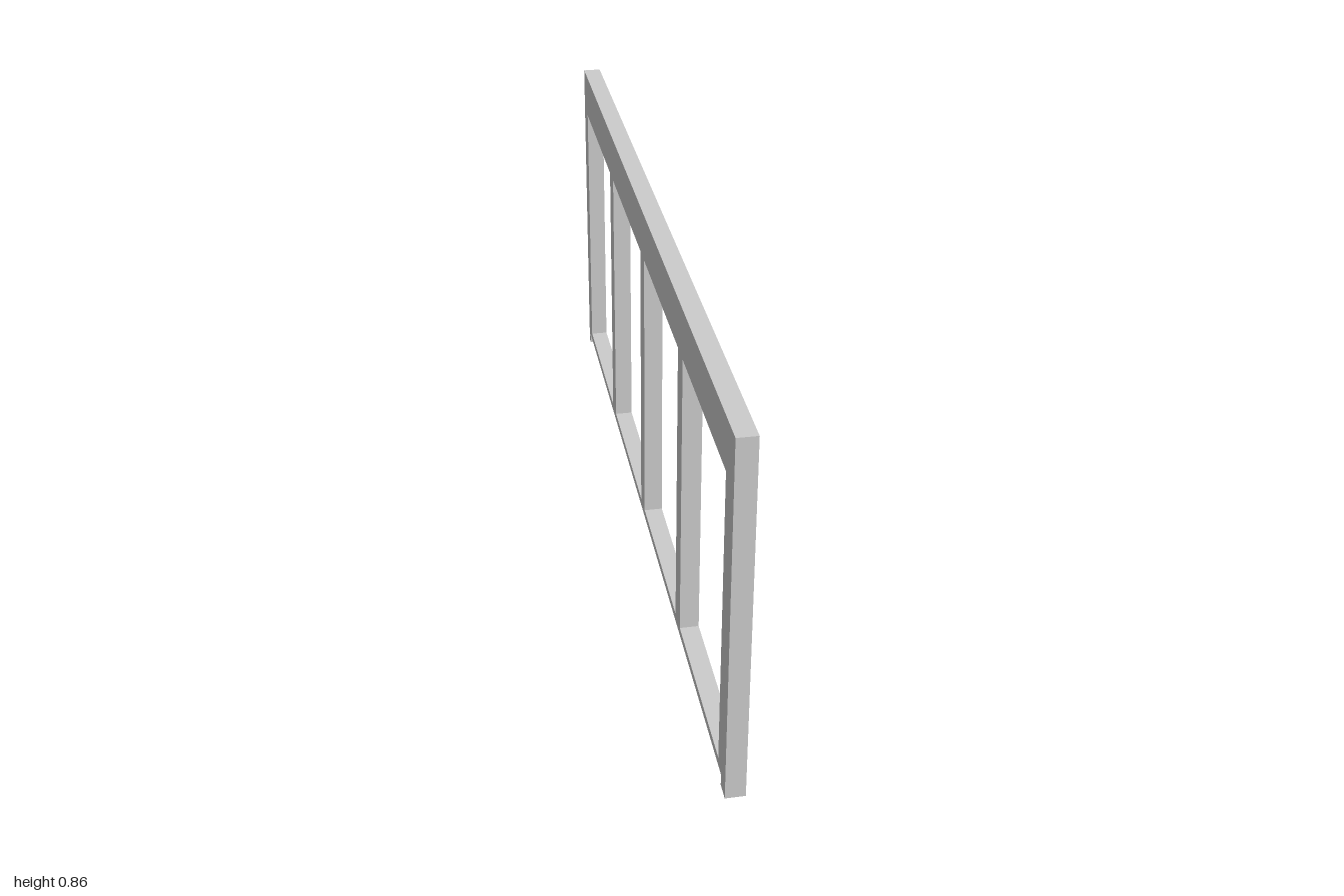
import * as THREE from 'three';

const HEIGHT = 0.864, HALF_X = 0.022, STEP_X = -0.007;
const SILL = 0.048, HEAD = 0.75;
const PANE_START = -0.944, PANE_PITCH = 0.482, PANE_WIDTH = 0.429;

// Closed outline in (z, y)
const toPoints = (list) => list.map(([z, y]) => new THREE.Vector2(z, y));

// Frame slab with four openings, spanning xMin..xMax
function frameLayer(name, outline, xMin, xMax, material) {
  const shape = new THREE.Shape(toPoints(outline));
  for (let i = 0; i < 4; i++) {
    const a = PANE_START + i * PANE_PITCH, b = a + PANE_WIDTH;
    shape.holes.push(new THREE.Path(toPoints([[a, SILL], [a, HEAD], [b, HEAD], [b, SILL]])));
  }
  const geometry = new THREE.ExtrudeGeometry(shape, { depth: xMax - xMin, bevelEnabled: false });
  geometry.rotateY(-Math.PI / 2); // outline runs along z, thickness along -x
  geometry.translate(xMax, 0, 0);
  const mesh = new THREE.Mesh(geometry, material);
  mesh.name = name;
  return mesh;
}

export function createModel() {
  const group = new THREE.Group();
  group.name = 'windowFrame';
  const material = new THREE.MeshStandardMaterial({ color: 0xcccccc });

  // Main body: full rectangle
  const full = [[-1, 0], [1, 0], [1, HEIGHT], [-1, HEIGHT]];
  group.add(frameLayer('mainFrame', full, STEP_X, HALF_X, material));

  // Face layer: bottom edge cut back between the two end posts
  const rebated = [
    [-1, 0], [-0.98, 0], [-0.98, 0.028], [0.96, 0.028], [0.96, 0],
    [1, 0], [1, HEIGHT], [-1, HEIGHT],
  ];
  group.add(frameLayer('rebatedFace', rebated, -HALF_X, STEP_X, material));
  return group;
}
